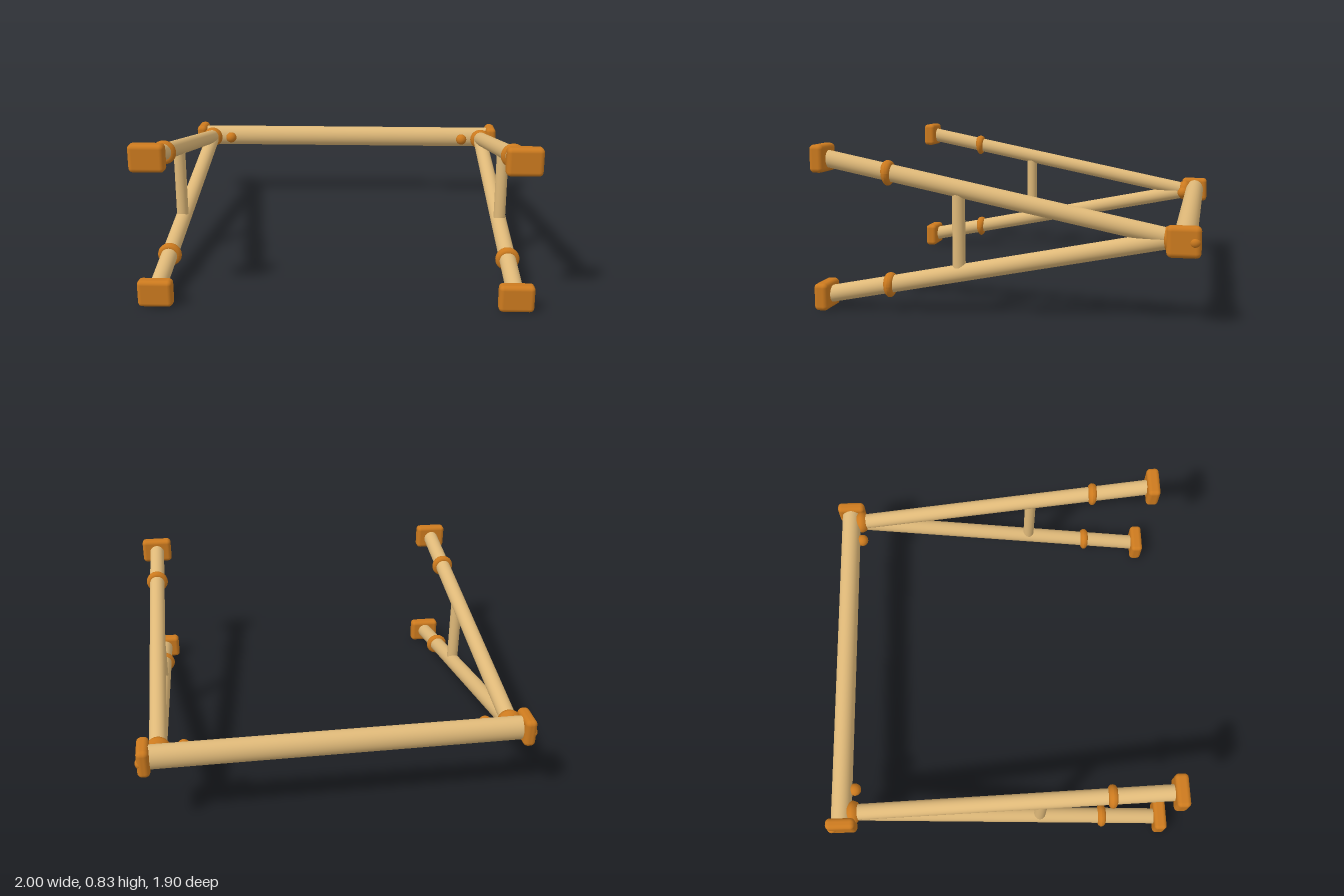
import * as THREE from 'three';
import { RoundedBoxGeometry } from 'three/addons/geometries/RoundedBoxGeometry.js';

const wood = new THREE.MeshStandardMaterial({ color: 0xdeb878 });
const orange = new THREE.MeshStandardMaterial({ color: 0xcc7a1e });

const MID_Y = 0.418; // height of the crossbar
const LEG_X = 0.89; // side offset of each V frame
const SLOPE = 0.2; // rise of each leg per unit of z
const APEX_Z = -0.83; // where the two legs meet

// Height of a leg's centre line above or below the crossbar
const legOffset = (z) => SLOPE * (z - APEX_Z);

function part(parent, name, geometry, material, x = 0, y = 0, z = 0) {
  const mesh = new THREE.Mesh(geometry, material);
  mesh.name = name;
  mesh.position.set(x, y, z);
  parent.add(mesh);
  return mesh;
}

// Round pole between two points
function pole(parent, name, from, to, radius) {
  const a = new THREE.Vector3(...from);
  const b = new THREE.Vector3(...to);
  const dir = b.clone().sub(a);
  const mesh = part(parent, name, new THREE.CylinderGeometry(radius, radius, dir.length(), 32), wood);
  mesh.position.copy(a).add(b).multiplyScalar(0.5);
  mesh.quaternion.setFromUnitVectors(new THREE.Vector3(0, 1, 0), dir.normalize());
  return mesh;
}

// Clamp ring, thinner towards its lower side
function ringGeometry() {
  const geo = new THREE.TorusGeometry(0.041, 0.022, 16, 40);
  const pos = geo.attributes.position;
  for (let i = 0; i < pos.count; i++) {
    const t = (pos.getY(i) + 0.063) / 0.126;
    pos.setZ(i, pos.getZ(i) * (0.8 + 0.4 * t));
  }
  geo.computeVertexNormals();
  return geo;
}

// Flared collar around the joint of the legs, turned about z
function collarGeometry() {
  const profile = [
    [0, -0.04], [0.03, -0.038], [0.058, 0], [0.064, 0.012],
    [0.062, 0.025], [0.054, 0.042], [0.04, 0.05], [0, 0.05],
  ].map(([r, h]) => new THREE.Vector2(r, h));
  return new THREE.LatheGeometry(profile, 32).rotateX(Math.PI / 2);
}

function createSide(side) {
  const frame = new THREE.Group();
  frame.name = side > 0 ? 'leftFrame' : 'rightFrame';
  const x = side * LEG_X;

  // Upper and lower legs with clamp rings and foot pads
  for (const s of [1, -1]) {
    const level = s > 0 ? 'upper' : 'lower';
    const y = (z) => MID_Y + s * legOffset(z);
    pole(frame, level + 'Leg', [x, y(-0.85), -0.85], [x, y(0.91), 0.91], 0.043);
    part(frame, level + 'Ring', ringGeometry(), orange, x, y(0.574) - 0.003, 0.574);
    part(frame, level + 'Foot', new RoundedBoxGeometry(0.174, 0.138, 0.07, 4, 0.022),
      orange, x, MID_Y + s * 0.347, 0.915);
  }

  // Upright strut between the legs
  const zs = 0.217;
  pole(frame, 'strut', [x, MID_Y - legOffset(zs), zs], [x, MID_Y + legOffset(zs), zs], 0.032);

  // Joint at the crossbar
  part(frame, 'collar', collarGeometry(), orange, x, MID_Y, -0.825);
  part(frame, 'endCap', new RoundedBoxGeometry(0.062, 0.15, 0.16, 4, 0.025),
    orange, side * 0.96, MID_Y, -0.87);
  part(frame, 'endBolt', new THREE.SphereGeometry(0.028, 24, 16), orange, side * 0.972, MID_Y, -0.92);
  part(frame, 'knob', new THREE.SphereGeometry(0.034, 24, 16), orange, side * 0.765, MID_Y, -0.802);
  return frame;
}

export function createModel() {
  const model = new THREE.Group();
  model.name = 'frame';

  // Crossbar, slightly taller than deep
  const bar = pole(model, 'crossbar', [-0.95, MID_Y, -0.872], [0.95, MID_Y, -0.872], 0.063);
  bar.scale.z = 0.88;

  for (const side of [1, -1]) model.add(createSide(side));
  return model;
}
